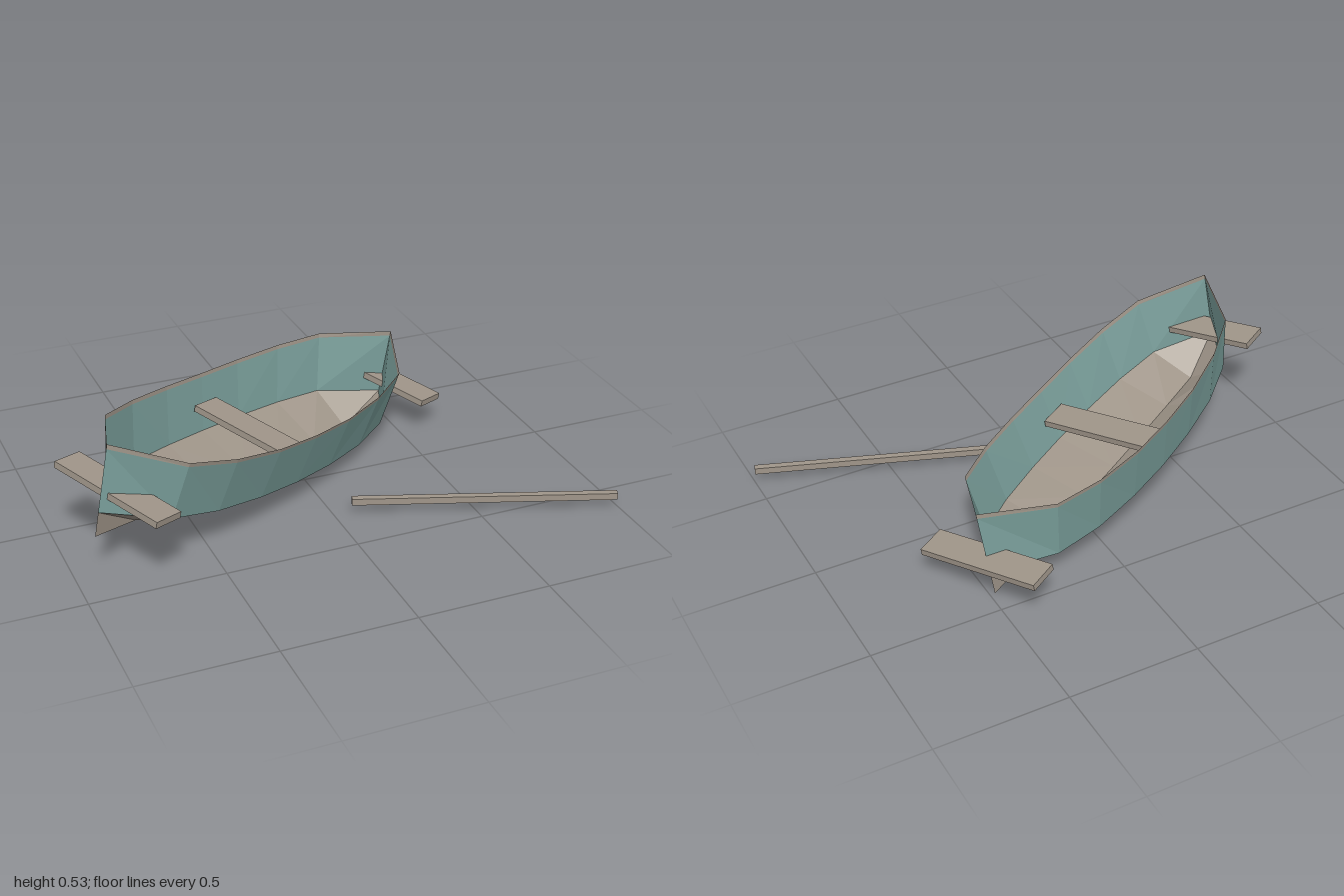
import * as THREE from 'three';

const teal = new THREE.MeshStandardMaterial({ color: 0x7ba09c, flatShading: true, side: THREE.DoubleSide });
const wood = new THREE.MeshStandardMaterial({ color: 0xa0968a, flatShading: true, side: THREE.DoubleSide });

// Half-stations from midship to stem: distance along the boat,
// keel height, chine half-width and height, sheer half-width and height
const HALF = [
  [0.0, -0.02, 0.235, 0.055, 0.285, 0.278],
  [0.2, -0.018, 0.229, 0.058, 0.28, 0.283],
  [0.41, -0.014, 0.208, 0.066, 0.255, 0.299],
  [0.605, -0.007, 0.162, 0.082, 0.202, 0.322],
  [0.806, 0.0, 0.0, 0.097, 0.0, 0.365],
];
const STATIONS = [
  ...HALF.slice(1).reverse().map(([f, ...rest]) => [-f, ...rest]),
  ...HALF,
];

// Lines running the length of the hull, as points on the +z side
const keel = ([f, k]) => [f, k, 0];
const chine = ([f, , w, h]) => [f, h, w];
const sheer = ([f, , , , w, h]) => [f, h, w];
const strake = (s) => {
  const a = chine(s), b = sheer(s), t = 0.93;
  return a.map((v, i) => v + (b[i] - v) * t);
};

// Faceted plating between two lines, mirrored onto both sides
function plating(name, lower, upper, material) {
  const pos = [];
  for (const side of [1, -1]) {
    const at = (line, i) => {
      const [x, y, z] = line(STATIONS[i]);
      return [x, y, z * side];
    };
    for (let i = 0; i < STATIONS.length - 1; i++) {
      const a = at(lower, i), b = at(lower, i + 1), c = at(upper, i + 1), d = at(upper, i);
      const tris = i < 4 ? [a, b, d, b, c, d] : [a, b, c, a, c, d];
      if (side < 0) tris.reverse();
      pos.push(...tris.flat());
    }
  }
  const geo = new THREE.BufferGeometry();
  geo.setAttribute('position', new THREE.Float32BufferAttribute(pos, 3));
  geo.computeVertexNormals();
  const mesh = new THREE.Mesh(geo, material);
  mesh.name = name;
  return mesh;
}

function plank(name, w, h, d, x, y, z) {
  const mesh = new THREE.Mesh(new THREE.BoxGeometry(w, h, d), wood);
  mesh.name = name;
  mesh.position.set(x, y, z);
  return mesh;
}

export function createModel() {
  const model = new THREE.Group();
  model.name = 'rowboatWithOar';

  // Hull: V bottom, flared sides and a thin rim band
  const boat = new THREE.Group();
  boat.name = 'boat';
  boat.add(
    plating('bottom', keel, chine, wood),
    plating('sides', chine, strake, teal),
    plating('rim', strake, sheer, wood),
  );

  // Cross benches
  boat.add(
    plank('rearBench', 0.12, 0.025, 0.49, -0.727, 0.163, 0),
    plank('middleBench', 0.12, 0.025, 0.49, 0, 0.163, 0),
    plank('frontBench', 0.12, 0.025, 0.49, 0.808, 0.163, 0),
  );

  // The boat lies turned, pitched and heeled
  const along = new THREE.Vector3(0.872, -0.106, -0.478).normalize();
  const across = along.clone().cross(new THREE.Vector3(0.151, 0.987, 0.057)).normalize();
  const up = across.clone().cross(along);
  boat.quaternion.setFromRotationMatrix(new THREE.Matrix4().makeBasis(along, up, across));
  boat.position.set(-0.2225, 0.09, -0.025);
  model.add(boat);

  // Loose oar shaft beside the boat
  const oar = plank('oar', 0.985, 0.026, 0.026, 0.53, 0.056, 0.461);
  oar.rotation.y = THREE.MathUtils.degToRad(-20);
  model.add(oar);

  return model;
}
